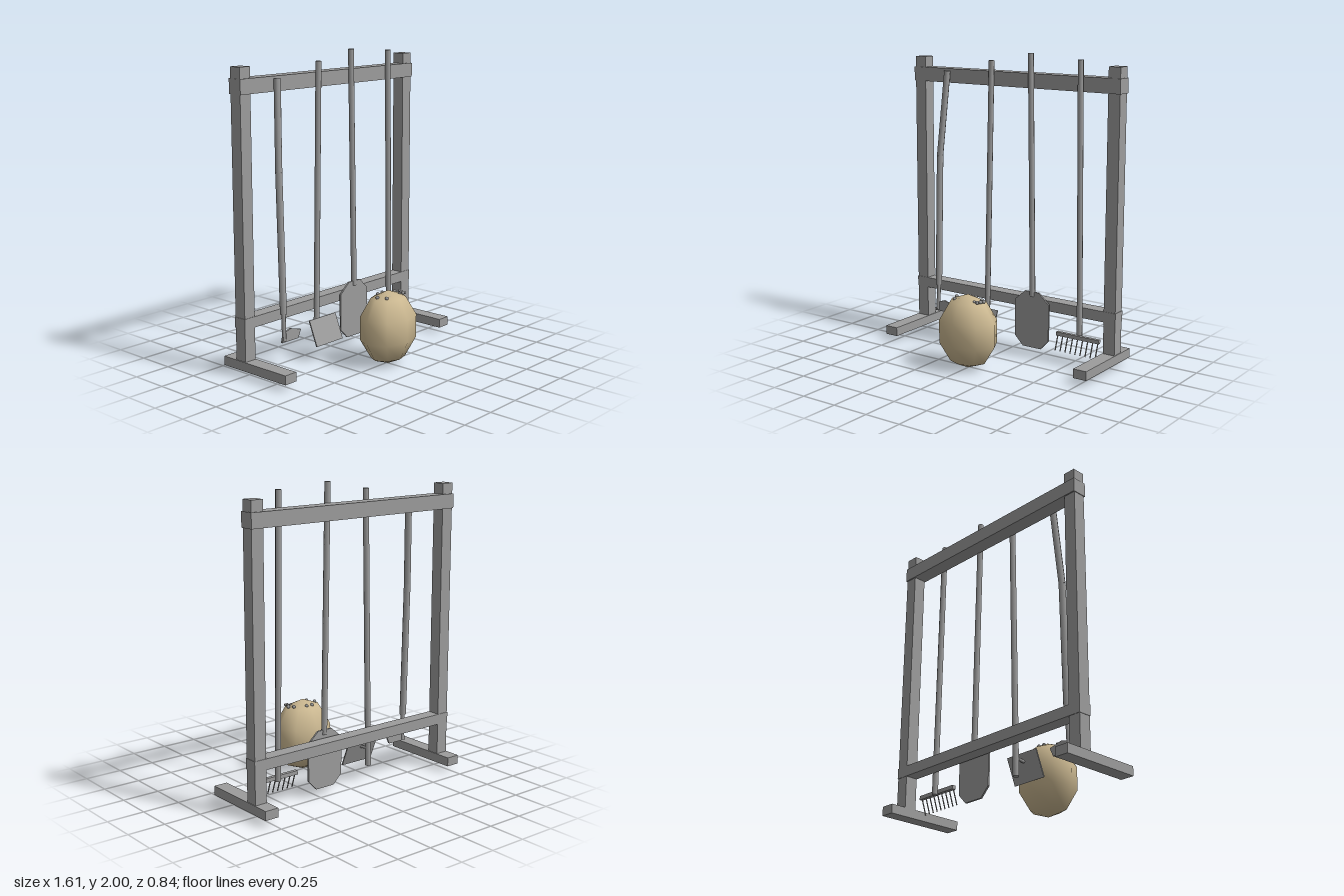
import * as THREE from 'three';

const grey = new THREE.MeshStandardMaterial({ color: 0x9c9c9c });
grey.name = 'weathered grey';
const tan = new THREE.MeshStandardMaterial({ color: 0xcbb891 });
tan.name = 'straw tan';

const V = (x, y, z) => new THREE.Vector3(x, y, z);

function add(parent, name, geometry, material = grey) {
  const mesh = new THREE.Mesh(geometry, material);
  mesh.name = name;
  parent.add(mesh);
  return mesh;
}

// Box given by its centre and size
function box(parent, name, [x, y, z], [w, h, d]) {
  const mesh = add(parent, name, new THREE.BoxGeometry(w, h, d));
  mesh.position.set(x, y, z);
  return mesh;
}

// Straight round bar between two points
function rod(parent, name, a, b, r, sides = 8) {
  const mesh = add(parent, name, new THREE.CylinderGeometry(r, r, a.distanceTo(b), sides));
  mesh.position.copy(a).lerp(b, 0.5);
  mesh.quaternion.setFromUnitVectors(V(0, 1, 0), b.clone().sub(a).normalize());
  return mesh;
}

// Flat plate cut from an outline in x and y, centred on depth z
function plate(parent, name, points, z, t) {
  const shape = new THREE.Shape(points.map(([x, y]) => new THREE.Vector2(x, y)));
  const geometry = new THREE.ExtrudeGeometry(shape, { depth: t, bevelEnabled: false });
  add(parent, name, geometry).position.z = z - t / 2;
}

function group(parent, name) {
  const g = new THREE.Group();
  g.name = name;
  parent.add(g);
  return g;
}

export function createModel() {
  const model = new THREE.Group();
  model.name = 'toolRack';

  // Rack frame
  const frame = group(model, 'frame');
  for (const [side, s] of [['left', 1], ['right', -1]]) {
    box(frame, side + 'Foot', [s * 0.76, 0.07, -0.145], [0.094, 0.06, 0.55]);
    box(frame, side + 'Post', [s * 0.76, 1.02, -0.268], [0.084, 1.84, 0.084]);
  }
  box(frame, 'topBeam', [0, 1.822, -0.268], [1.614, 0.095, 0.1]);
  box(frame, 'lowerBeam', [0, 0.346, -0.268], [1.61, 0.07, 0.09]);

  // Bent-handled cutter
  const cutter = group(model, 'cutter');
  const bend = V(-0.55, 1.28, -0.165);
  rod(cutter, 'upperHandle', V(-0.513, 1.855, -0.205), bend, 0.022);
  rod(cutter, 'lowerHandle', bend, V(-0.551, 0.375, -0.14), 0.022);
  rod(cutter, 'neck', V(-0.551, 0.38, -0.14), V(-0.553, 0.2, -0.134), 0.014);
  plate(cutter, 'cutterBlade',
    [[-0.575, 0.19], [-0.43, 0.19], [-0.405, 0.245], [-0.5, 0.27], [-0.56, 0.25]], -0.136, 0.012);

  // Hoe with a tilted blade
  const hoe = group(model, 'hoe');
  rod(hoe, 'hoeHandle', V(-0.147, 1.94, -0.205), V(-0.185, 0.11, -0.205), 0.019);
  rod(hoe, 'hoeNeck', V(-0.183, 0.23, -0.205), V(-0.183, 0.22, -0.137), 0.01);
  box(hoe, 'hoeBlade', [-0.182, 0.188, -0.121], [0.246, 0.178, 0.008])
    .rotation.x = -Math.atan2(0.067, 0.165);

  // Shovel
  const shovel = group(model, 'shovel');
  rod(shovel, 'shovelHandle', V(0.16, 2, -0.205), V(0.187, 0.4, -0.205), 0.019);
  plate(shovel, 'shovelBlade',
    [[0.115, 0.045], [0.255, 0.045], [0.317, 0.11], [0.317, 0.36],
      [0.24, 0.43], [0.13, 0.43], [0.05, 0.36], [0.05, 0.11]], -0.205, 0.012);

  // Rake
  const rake = group(model, 'rake');
  rod(rake, 'rakeHandle', V(0.531, 1.975, -0.205), V(0.554, 0.17, -0.205), 0.019);
  box(rake, 'rakeBar', [0.554, 0.188, -0.185], [0.32, 0.026, 0.024]);
  for (let i = 0; i < 9; i++) {
    const x = 0.404 + i * 0.0378;
    rod(rake, 'rakeTine', V(x, 0.185, -0.183), V(x, 0.08, -0.148), 0.004, 6);
  }

  // Faceted sack
  const sack = group(model, 'sack');
  const body = add(sack, 'sackBody', new THREE.SphereGeometry(1, 8, 5), tan);
  body.scale.set(0.217, 0.246, 0.171);
  body.position.set(0, 0.246, 0.26);

  // Beads around the top: x, z, radius
  const beads = [
    [-0.03, 0.196, 0.012], [0.015, 0.196, 0.012], [-0.097, 0.252, 0.012], [-0.071, 0.308, 0.012],
    [-0.037, 0.304, 0.006], [0.093, 0.235, 0.012], [0.123, 0.257, 0.012], [0.11, 0.278, 0.012],
    [0.075, 0.295, 0.009], [0.1, 0.3, 0.012], [0.109, 0.308, 0.009], [0.112, 0.267, 0.01],
  ];
  for (const [x, z, r] of beads) {
    add(sack, 'bead', new THREE.SphereGeometry(r, 8, 6)).position.set(x, 0.46, z);
  }

  return model;
}
